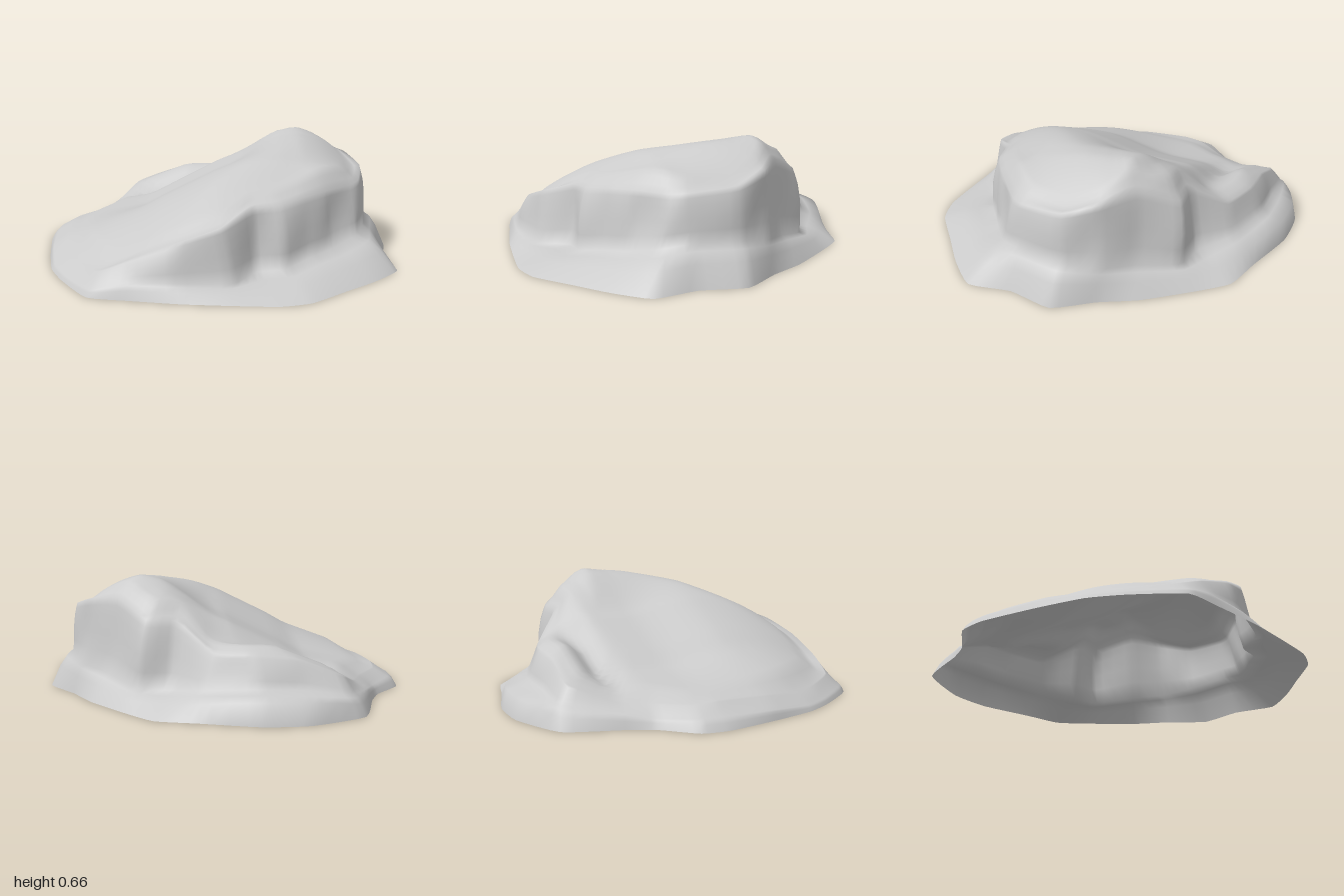
import * as THREE from 'three';

// Matching closed outlines, listed from the right (+x) round by the front (+z)
// foot of the rock: x, z
const FOOT = [
  1, -.05, .96, .2, 1, .44, .85, .62, .68, .77, .5, .93, .34, .98, .1, .975, -.15, .96,
  -.42, .92, -.63, .88, -.8, .64, -.89, .46, -.95, .2, -1, -.1, -.98, -.26, -.83, -.42,
  -.76, -.56, -.65, -.86, -.35, -.99, -.1, -.99, .2, -.9, .42, -.84, .56, -.69, .75, -.45, .86, -.25];
// inner edge of the skirt, where the cliff starts: x, y, z
const BASE = [
  .87, .2, -.05, .84, .2, .2, .78, .17, .34, .64, .13, .46, .52, .11, .55, .38, .08, .66,
  .23, .07, .68, .1, .06, .83, -.18, .08, .89, -.42, .08, .88, -.61, .04, .86, -.78, .03, .63,
  -.87, .03, .45, -.93, .05, .19, -.95, .06, -.1, -.93, .06, -.25, -.8, .05, -.41,
  -.73, .07, -.56, -.58, .11, -.83, -.34, .14, -.84, -.1, .15, -.84, .16, .13, -.76,
  .33, .1, -.62, .5, .1, -.57, .65, .14, -.39, .8, .17, -.24];
// top edge of the cliff: x, y, z
const RIM = [
  .84, .48, -.05, .8, .45, .2, .74, .44, .29, .6, .44, .42, .48, .43, .52, .34, .41, .61,
  .2, .4, .65, .04, .34, .79, -.18, .27, .83, -.42, .18, .82, -.58, .11, .78, -.71, .09, .59,
  -.79, .09, .41, -.84, .11, .18, -.86, .12, -.1, -.84, .11, -.23, -.72, .11, -.4,
  -.65, .12, -.56, -.54, .2, -.77, -.3, .29, -.77, -.08, .31, -.77, .11, .31, -.7,
  .29, .45, -.54, .45, .46, -.54, .6, .55, -.36, .76, .53, -.23];

// Height profiles of the sloping top, along x and along z
const ALONG_X = [[-1, .02], [-.82, .13], [-.42, .28], [-.3, .35], [0, .5], [.37, .65], [.48, .68], [.62, .61], [.85, .49]];
const ALONG_Z = [[-.7, .4], [-.57, .46], [-.45, .57], [-.36, .61], [-.28, .69], [-.15, .66], [0, .64], [.28, .605], [.57, .5], [.67, .45], [.85, .27]];

const { lerp, smoothstep } = THREE.MathUtils;

function profile(points, v) {
  for (let i = 1; i < points.length; i++) {
    const [a, ya] = points[i - 1], [b, yb] = points[i];
    if (v <= b) return lerp(ya, yb, Math.max(0, (v - a) / (b - a)));
  }
  return points[points.length - 1][1];
}

// Sloping top with a rounded front shoulder, and a gully and low hump behind it
function topHeight(x, z) {
  const a = profile(ALONG_X, x) - .4 * Math.max(0, z - .25) ** 2;
  const b = profile(ALONG_Z, z);
  const blend = Math.max(0, .08 - Math.abs(a - b));
  const shoulder = .045 * smoothstep(x + z, .4, .85);
  const slope = Math.min(a, b) - blend * blend / .32 - shoulder;
  const tilt = .075 * smoothstep(-z, -.25, .2) * (1 - smoothstep(x, .05, .4)) * smoothstep(x, -.9, -.3);
  const hump = .35 - Math.max(0, -.2 - x) * .4;
  const side = 1 - smoothstep(x, .02, .22);
  const back = (1 - smoothstep(z, -.62, -.42)) * side;
  const gully = .08 * Math.exp(-(((z + .55) / .08) ** 2)) * (1 - smoothstep(x, -.25, .12)) * smoothstep(x, -.75, -.4);
  return lerp(slope - tilt, Math.min(slope + .03, hump), back) - gully;
}

// Rounds a control outline into evenly matched columns
const STEPS = 4, STATIONS = FOOT.length / 2, COLS = STATIONS * STEPS;
function outline(data, size) {
  const pts = [];
  for (let i = 0; i < data.length; i += size) {
    pts.push(size === 2 ? new THREE.Vector3(data[i], 0, data[i + 1])
      : new THREE.Vector3(data[i], data[i + 1], data[i + 2]));
  }
  const curve = new THREE.CatmullRomCurve3(pts, true, 'catmullrom', .25);
  return Array.from({ length: COLS }, (_, i) => curve.getPoint(i / COLS));
}

export function createModel() {
  const foot = outline(FOOT, 2), base = outline(BASE, 3), rim = outline(RIM, 3);
  const centre = new THREE.Vector3(.1, topHeight(.1, 0), 0);
  const rings = [foot];

  // Skirt, with a blunt step along the back
  rings.push(foot.map((p, i) => {
    const back = 1 - smoothstep(p.z, -.97, -.85);
    const q = p.clone().lerp(base[i], lerp(.4, .18, back));
    q.y = base[i].y * lerp(.58, .75, back);
    return q;
  }));
  rings.push(foot.map((p, i) => {
    const q = p.clone().lerp(base[i], .7);
    q.y = base[i].y * .86;
    return q;
  }));
  rings.push(base);

  // Cliff with weathered hollows and ribs
  for (const t of [.25, .5, .75, .9]) {
    rings.push(base.map((p, i) => {
      const q = p.clone().lerp(rim[i], t);
      const tall = Math.max(0, rim[i].y - base[i].y);
      const wobble = Math.sin(i * .43) * .6 + Math.sin(i * .97 + 1) * .4;
      const out = q.clone().sub(centre).setY(0).normalize();
      return q.addScaledVector(out, tall * Math.sin(Math.PI * t) * (.06 * wobble + .05 * (t - .3)));
    }));
  }
  rings.push(rim);

  // Top, closing in on the centre
  const TOP = 24;
  for (let k = 1; k < TOP; k++) {
    const t = k / TOP;
    rings.push(rim.map(p => {
      const q = p.clone().lerp(centre, t);
      q.y = lerp(p.y, topHeight(q.x, q.z), smoothstep(t, -.03, .13));
      return q;
    }));
  }

  const positions = [], index = [];
  rings.forEach(ring => ring.forEach(p => positions.push(p.x, p.y, p.z)));
  positions.push(centre.x, centre.y, centre.z);
  const last = rings.length - 1, tip = rings.length * COLS;
  for (let r = 0; r <= last; r++) {
    for (let i = 0; i < COLS; i++) {
      const a = r * COLS + i, b = r * COLS + (i + 1) % COLS;
      if (r === last) index.push(a, tip, b);
      else index.push(a, a + COLS, b, b, a + COLS, b + COLS);
    }
  }
  const geometry = new THREE.BufferGeometry();
  geometry.setAttribute('position', new THREE.Float32BufferAttribute(positions, 3));
  geometry.setIndex(index);
  geometry.computeVertexNormals();

  // Hollow shell, open underneath
  const rock = new THREE.Mesh(geometry, new THREE.MeshStandardMaterial({ color: 0xcccccc, side: THREE.DoubleSide }));
  rock.name = 'rockShell';
  const group = new THREE.Group();
  group.name = 'rock';
  group.add(rock);
  return group;
}
